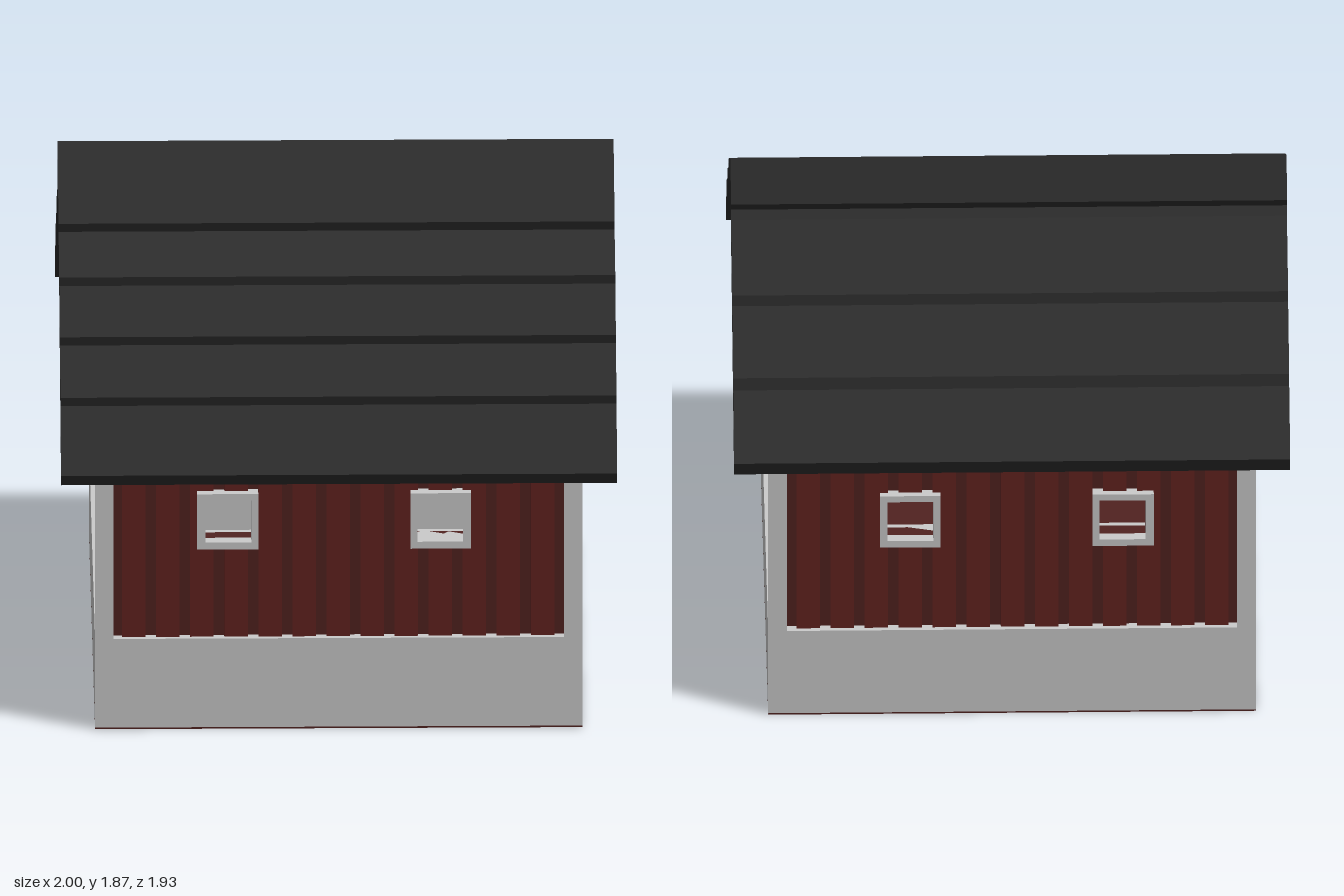
import * as THREE from 'three';
import { mergeGeometries } from 'three/addons/utils/BufferGeometryUtils.js';

const mat = (color) => new THREE.MeshStandardMaterial({ color, flatShading: true, roughness: 0.9 });

// Underside of the roof as [z, y], from front eave to back eave
const UNDERSIDE = [[0.88, 1.03], [0.385, 1.49], [0.2, 1.608], [-0.132, 1.754],
  [-0.153, 1.65], [-0.407, 1.463], [-0.91, 1.03]];

// Stepped upper surface of the roof, from back eave to front eave
const ROOF_TOP = [[-0.93, 1.02], [-0.965, 1.085], [-0.735, 1.255], [-0.725, 1.3], [-0.487, 1.46],
  [-0.48, 1.5], [-0.21, 1.655], [-0.187, 1.685], [-0.21, 1.72], [-0.142, 1.868], [0.185, 1.68],
  [0.175, 1.645], [0.39, 1.555], [0.385, 1.52], [0.58, 1.4], [0.572, 1.365], [0.765, 1.24],
  [0.757, 1.205], [0.965, 1.018], [0.935, 0.97]];

function roofHeight(z) {
  for (let i = 0; i < UNDERSIDE.length - 1; i++) {
    const [a, ya] = UNDERSIDE[i], [b, yb] = UNDERSIDE[i + 1];
    if (z <= a && z >= b) return ya + (yb - ya) * (a - z) / (a - b);
  }
  return 1.03;
}

const toPoints = (pts) => pts.map(([u, v]) => new THREE.Vector2(u, v));
const rect = ([u0, u1, v0, v1]) => [[u0, v0], [u1, v0], [u1, v1], [u0, v1]];

// Outline with holes; axis 'x' means the outline is [z, y] and spans from..to in x
function slab(outline, holes, axis, from, to) {
  const shape = new THREE.Shape(toPoints(outline));
  holes.forEach((h) => shape.holes.push(new THREE.Path(toPoints(h))));
  const geo = new THREE.ExtrudeGeometry(shape, { depth: to - from, bevelEnabled: false });
  if (axis === 'x') return geo.rotateY(-Math.PI / 2).translate(to, 0, 0);
  return geo.translate(0, 0, from);
}

// Vertical boards with narrow gaps, cut around the openings and under the roof
function boards(u0, u1, gapCentre, pitch, openings, topAt, breaks, axis, from, to) {
  const parts = [], gap = 0.038, bottom = 0.35;
  const first = gapCentre - Math.ceil((gapCentre - u0) / pitch) * pitch;
  for (let g = first; g < u1; g += pitch) {
    const a = Math.max(u0, g + gap / 2), b = Math.min(u1, g + pitch - gap / 2);
    if (b - a < 0.005) continue;
    const cuts = [a, b];
    openings.forEach((o) => cuts.push(o[0], o[1]));
    breaks.forEach((z) => cuts.push(z));
    const us = cuts.filter((u) => u >= a && u <= b).sort((p, q) => p - q);
    for (let i = 0; i < us.length - 1; i++) {
      const l = us[i], r = us[i + 1], mid = (l + r) / 2;
      if (r - l < 0.002) continue;
      let y = bottom;
      openings.filter((o) => mid > o[0] && mid < o[1]).sort((p, q) => p[2] - q[2]).forEach((o) => {
        if (o[2] - y > 0.005) parts.push(slab(rect([l, r, y, o[2]]), [], axis, from, to));
        y = o[3];
      });
      parts.push(slab([[l, y], [r, y], [r, topAt(r)], [l, topAt(l)]], [], axis, from, to));
    }
  }
  return mergeGeometries(parts);
}

export function createModel() {
  const barn = new THREE.Group();
  barn.name = 'barn';
  const grey = mat(0xcccccc), red = mat(0x632320), darkRed = mat(0x512220), black = mat(0x2d2d2d);
  const add = (name, geo, material) => {
    const mesh = new THREE.Mesh(geo, material);
    mesh.name = name;
    barn.add(mesh);
    return mesh;
  };
  const box = (x0, x1, y0, y1, z0, z1) => new THREE.BoxGeometry(x1 - x0, y1 - y0, z1 - z0)
    .translate((x0 + x1) / 2, (y0 + y1) / 2, (z0 + z1) / 2);
  const frame = (o, i, axis, from, to) => slab(rect(o), [rect(i)], axis, from, to);

  // Floor and foundation
  add('floor', box(-0.877, 0.877, 0, 0.006, -0.91, 0.88), darkRed);
  const foundation = slab(rect([-0.877, 0.877, -0.88, 0.91]),
    [rect([-0.77, 0.77, -0.77, 0.8])], 'z', 0.006, 0.35).rotateX(-Math.PI / 2);
  add('foundation', foundation, grey);

  // Roof as one stepped profile
  add('roof', slab([...UNDERSIDE, ...ROOF_TOP], [], 'x', -1, 1), black);

  // Long walls with two windows each
  const sideOuter = [[-0.51, -0.29, 0.7, 0.915], [0.257, 0.475, 0.7, 0.915]];
  const sideInner = [[-0.48, -0.315, 0.727, 0.89], [0.283, 0.447, 0.727, 0.89]];
  for (const side of [
    { name: 'front', wall: [0.79, 0.845], skin: [0.845, 0.862], frame: [0.77, 0.892] },
    { name: 'back', wall: [-0.875, -0.82], skin: [-0.892, -0.875], frame: [-0.917, -0.8] },
  ]) {
    add(side.name + 'Wall', slab(rect([-0.84, 0.84, 0.35, 1.04]), sideInner.map(rect), 'z', ...side.wall), darkRed);
    add(side.name + 'Boards', boards(-0.82, 0.82, -0.676, 0.1225, sideOuter, () => 1.03, [], 'z', ...side.skin), red);
    sideOuter.forEach((o, i) => add(side.name + 'WindowFrame', frame(o, sideInner[i], 'z', ...side.frame), grey));
  }

  // Gable ends; the doorway is in the +x end
  const gableOuter = [-0.2, 0.17, 1.1, 1.458], gableInner = [-0.165, 0.13, 1.136, 1.417];
  const trimInner = [[0.745, 1.083], [0.365, 1.437], [0.19, 1.556], [-0.117, 1.685],
    [-0.132, 1.608], [-0.4, 1.42], [-0.775, 1.083]];
  const breaks = UNDERSIDE.map((p) => p[0]);
  const doorway = [-0.127, 0.36, 0.35, 0.87];
  for (const s of [1, -1]) {
    const name = s > 0 ? 'right' : 'left';
    const span = (a, b) => (s > 0 ? [a, b] : [-b, -a]);
    const outline = [[0.835, 0.35], [0.835, 1.06], ...UNDERSIDE.slice(1, -1), [-0.865, 1.06], [-0.865, 0.35]];
    if (s > 0) outline.push([doorway[0], 0.35], [doorway[0], 0.87], [doorway[1], 0.87], [doorway[1], 0.35]);
    add(name + 'GableWall', slab(outline, [rect(gableInner)], 'x', ...span(0.79, 0.84)), darkRed);
    const openings = s > 0 ? [gableOuter, [-0.127, 0.36, 0.35, 0.9]] : [gableOuter];
    add(name + 'GableBoards', boards(-0.865, 0.835, 0.018, 0.125, openings,
      (z) => roofHeight(z) - 0.01, breaks, 'x', ...span(0.84, 0.857)), red);
    add(name + 'GableWindowFrame', frame(gableOuter, gableInner, 'x', ...span(0.77, 0.895)), grey);
    add(name + 'GableTrim', slab([[0.88, 1.025], ...UNDERSIDE, [-0.91, 1.025]], [trimInner], 'x', ...span(0.83, 0.877)), grey);
    // Corner posts
    for (const [z0, z1] of [[0.83, 0.88], [-0.91, -0.86]]) {
      add('cornerPost', box(...span(0.81, 0.877), 0.35, 1.03, z0, z1), grey);
    }
  }

  // Sliding door track with its end brackets
  add('doorTrack', slab([[-0.44, 0.9], [-0.39, 0.9], [-0.39, 0.934], [0.36, 0.934], [0.36, 0.9],
    [0.41, 0.9], [0.41, 0.976], [-0.44, 0.976]], [], 'x', 0.85, 0.895), grey);

  return barn;
}
